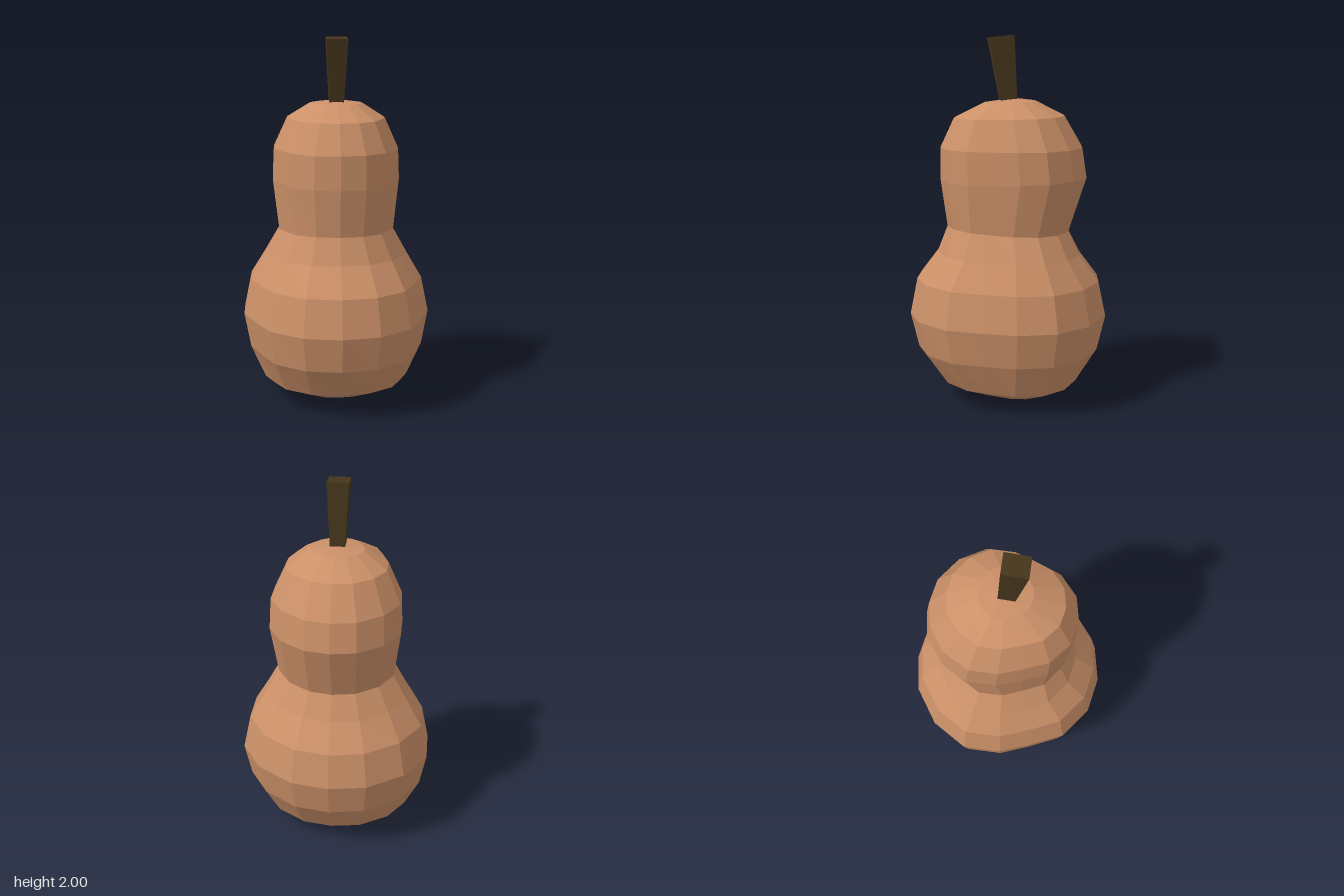
import * as THREE from 'three';

// Half of the egg-shaped plan from back to front, unit size [x, z]; narrower at the front
const HALF_PLAN = [
  [0, -1], [0.39, -0.94], [0.77, -0.7], [1, -0.35], [1, 0.04],
  [0.87, 0.37], [0.72, 0.69], [0.39, 0.93], [0, 1],
];
const PLAN = [...HALF_PLAN, ...HALF_PLAN.slice(1, -1).reverse().map(([x, z]) => [-x, z])];

// Rings from bottom to top: [half width, front z, front y, back z, back y]
const RINGS = [
  [0, 0, 0, 0, 0],
  [0.2, 0.2, 0.04, -0.2, 0.01],
  [0.4, 0.38, 0.12, -0.38, 0.1],
  [0.48, 0.5, 0.29, -0.5, 0.29],
  [0.515, 0.545, 0.48, -0.545, 0.48],
  [0.475, 0.505, 0.68, -0.505, 0.67],
  [0.39, 0.39, 0.83, -0.4, 0.81],
  [0.315, 0.335, 0.97, -0.335, 0.94],
  [0.348, 0.37, 1.22, -0.435, 1.24],
  [0.34, 0.37, 1.4, -0.41, 1.4],
  [0.265, 0.295, 1.56, -0.31, 1.57],
  [0.14, 0.13, 1.64, -0.15, 1.65],
  [0, -0.03, 1.665, -0.03, 1.665],
];

function loftGeometry(rings, plan) {
  const positions = [];
  const index = [];
  const n = plan.length;
  for (const [rx, zFront, yFront, zBack, yBack] of rings) {
    for (const [px, pz] of plan) {
      const t = (pz + 1) / 2;
      positions.push(
        px * rx,
        THREE.MathUtils.lerp(yBack, yFront, t),
        THREE.MathUtils.lerp(zBack, zFront, t),
      );
    }
  }
  for (let i = 0; i < rings.length - 1; i++) {
    for (let j = 0; j < n; j++) {
      const k = (j + 1) % n;
      const a = i * n + j, b = i * n + k, c = a + n, d = b + n;
      if (rings[i + 1][0] > 0) index.push(a, c, d);
      if (rings[i][0] > 0) index.push(a, d, b);
    }
  }
  const geometry = new THREE.BufferGeometry();
  geometry.setAttribute('position', new THREE.Float32BufferAttribute(positions, 3));
  geometry.setIndex(index);
  geometry.computeVertexNormals();
  return geometry;
}

// Square stem that widens and leans forward towards its slanted top
function stemGeometry() {
  const geometry = new THREE.BoxGeometry(1, 1, 1);
  const p = geometry.attributes.position;
  for (let i = 0; i < p.count; i++) {
    const x = p.getX(i), z = p.getZ(i);
    if (p.getY(i) > 0) p.setXYZ(i, x * 0.115, 1.993 - z * 0.014, 0.04 + z * 0.135);
    else p.setXYZ(i, x * 0.075, 1.62, -0.005 + z * 0.085);
  }
  geometry.computeVertexNormals();
  return geometry;
}

export function createModel() {
  const group = new THREE.Group();
  group.name = 'gourd';

  const addPart = (name, geometry, color) => {
    const material = new THREE.MeshStandardMaterial({ color, flatShading: true });
    const mesh = new THREE.Mesh(geometry, material);
    mesh.name = name;
    group.add(mesh);
  };

  addPart('body', loftGeometry(RINGS, PLAN), 0xcb9068);
  addPart('stem', stemGeometry(), 0x46361c);
  return group;
}
